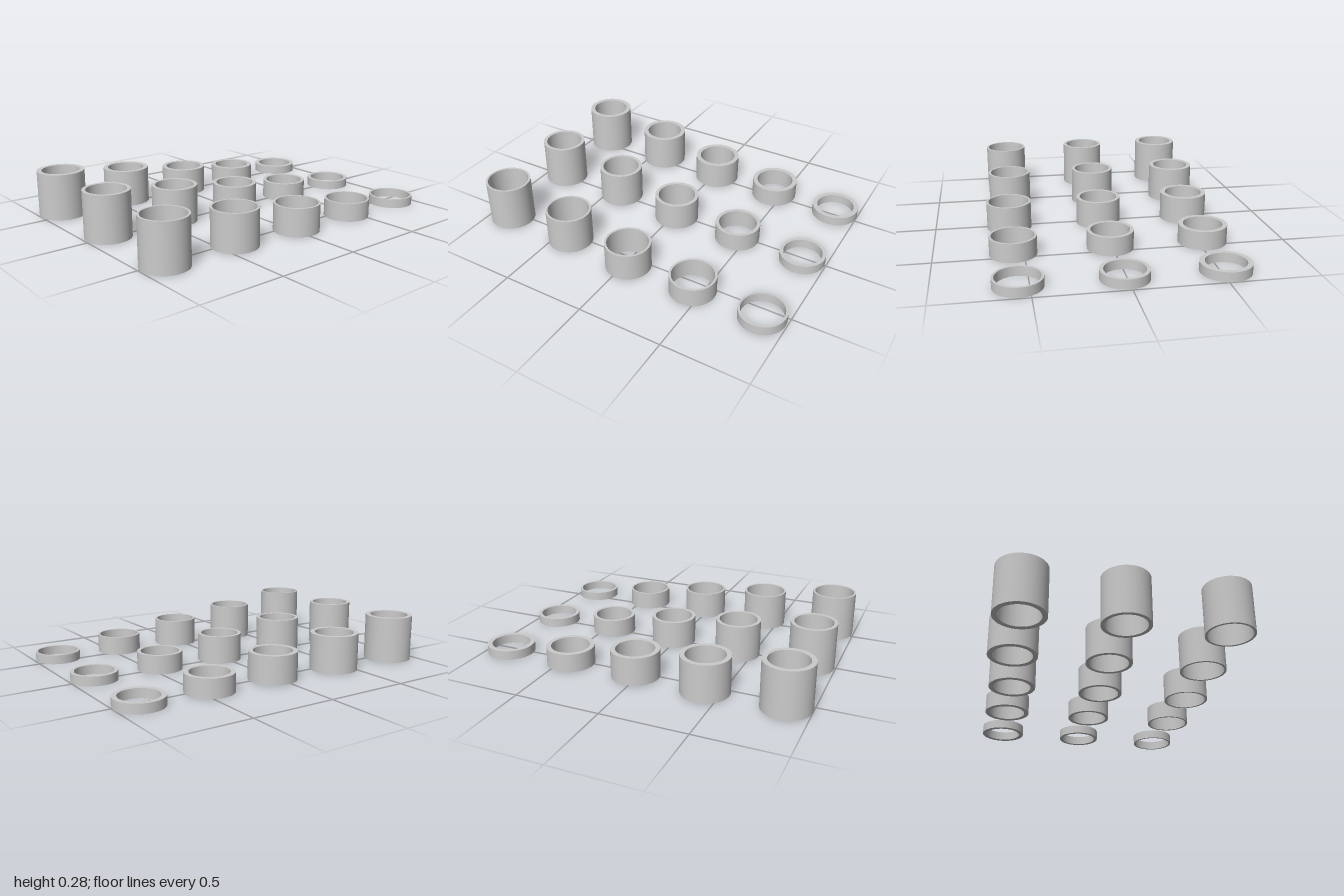
import * as THREE from 'three';
import { mergeGeometries } from 'three/addons/utils/BufferGeometryUtils.js';

// Open tube: four lathed bands (outer wall, top rim, inner wall, bottom rim) with sharp edges between
function tubeGeometry(outer, inner, height) {
  const corners = [[outer, 0], [outer, height], [inner, height], [inner, 0]]
    .map(([r, y]) => new THREE.Vector2(r, y));
  return mergeGeometries(corners.map((c, i) =>
    new THREE.LatheGeometry([c, corners[(i + 1) % 4]], 72)));
}

export function createModel() {
  const group = new THREE.Group();
  group.name = 'spacerSet';
  const material = new THREE.MeshStandardMaterial({ color: 0xcccccc });

  // Columns differ in wall thickness; the front two rows sit slightly further to -x
  const columns = [
    { name: 'thick', outer: 0.14, inner: 0.112, front: -0.557, back: -0.528 },
    { name: 'medium', outer: 0.133, inner: 0.112, front: -0.018, back: 0.012 },
    { name: 'thin', outer: 0.133, inner: 0.12, front: 0.532, back: 0.559 },
  ];
  // Rows differ in height, tallest at the front
  const rows = [
    { z: 0.86, height: 0.275 },
    { z: 0.41, height: 0.22 },
    { z: -0.021, height: 0.165 },
    { z: -0.442, height: 0.11 },
    { z: -0.86, height: 0.055 },
  ];

  for (const col of columns) {
    rows.forEach((row, i) => {
      const mesh = new THREE.Mesh(tubeGeometry(col.outer, col.inner, row.height), material);
      mesh.name = `${col.name}Spacer${i + 1}`;
      mesh.position.set(i < 2 ? col.front : col.back, 0, row.z);
      group.add(mesh);
    });
  }
  return group;
}
